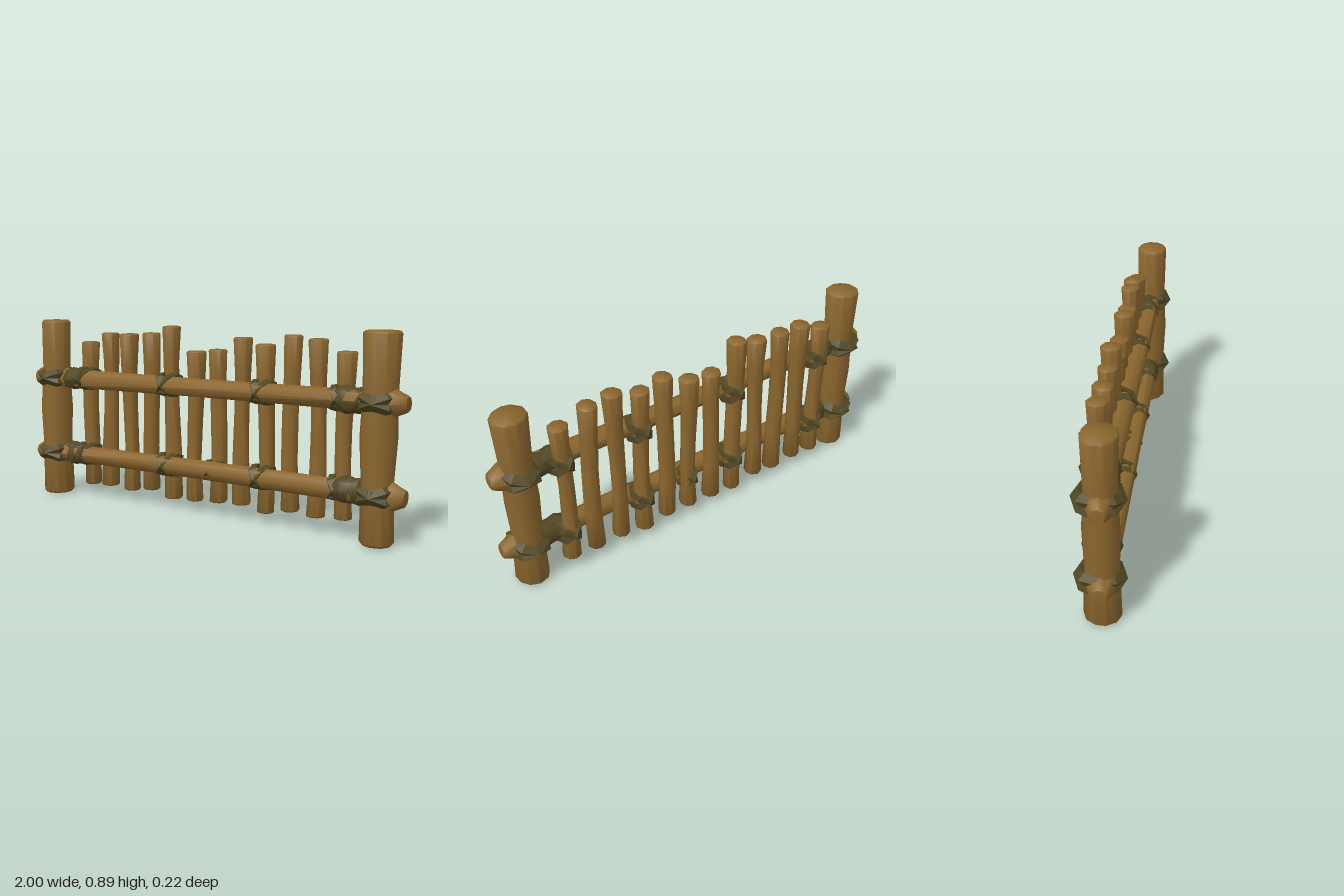
import * as THREE from 'three';
import { toCreasedNormals } from 'three/addons/utils/BufferGeometryUtils.js';

const wood = new THREE.MeshStandardMaterial({ color: 0x8b662e });
wood.name = 'weathered wood';
const rope = new THREE.MeshStandardMaterial({ color: 0x524824 });
rope.name = 'dark rope';

// Rough-hewn log standing on y = 0; profile is a list of [height fraction, radius factor]
function logGeometry(radius, length, sides, seed, profile, bend) {
  const bevel = radius * 0.18;
  const pts = [new THREE.Vector2(0, 0), new THREE.Vector2(radius * profile[0][1] * 0.88, bevel * 0.3)];
  profile.forEach(([t, f]) => pts.push(new THREE.Vector2(radius * f, bevel + t * (length - 2 * bevel))));
  pts.push(new THREE.Vector2(radius * profile[profile.length - 1][1] * 0.88, length - bevel * 0.3));
  pts.push(new THREE.Vector2(0, length));
  const g = new THREE.LatheGeometry(pts, sides);
  const p = g.attributes.position;
  for (let i = 0; i < p.count; i++) {
    const x = p.getX(i), y = p.getY(i), z = p.getZ(i);
    const a = Math.atan2(x, z), t = y / length;
    const k = 1 + 0.05 * Math.sin(2 * a + seed * 1.7 + t * 4);
    p.setX(i, x * k + bend * Math.sin(t * 5 + seed * 2.3));
    p.setZ(i, z * k + bend * 0.4 * Math.sin(t * 4 + seed));
  }
  return toCreasedNormals(g, 0.85);
}

// Pair of crossed rope loops, wrapping along z and along the two diagonals
function lashing(name, x, y, z, rx, rz, tube, tilt, height) {
  const group = new THREE.Group();
  group.name = name;
  for (const s of [-1, 1]) {
    const g = new THREE.TorusGeometry(1 - tube / rz, tube / rz, 4, 8);
    g.rotateX(Math.PI / 2).scale(rx, rz * height, rz).rotateZ(s * tilt);
    const mesh = new THREE.Mesh(toCreasedNormals(g, 0.6), rope);
    mesh.name = 'ropeLoop';
    group.add(mesh);
  }
  group.position.set(x, y, z);
  return group;
}

export function createModel() {
  const fence = new THREE.Group();
  fence.name = 'fence';
  const add = (name, geometry, material, x, y, z) => {
    const mesh = new THREE.Mesh(geometry, material);
    mesh.name = name;
    mesh.position.set(x, y, z);
    fence.add(mesh);
  };

  const railHeights = [0.215, 0.6];

  // End posts
  const postProfile = [[0, 1], [0.3, 0.93], [0.5, 1.03], [0.72, 0.92], [1, 1]];
  add('rightPost', logGeometry(0.076, 0.893, 10, 1, postProfile, 0.003), wood, -0.882, 0, 0.006);
  add('leftPost', logGeometry(0.076, 0.895, 10, 4, postProfile, 0.003), wood, 0.874, 0, 0.006);

  // Pickets: x, bottom, top
  const pickets = [
    [-0.7, 0.055, 0.785], [-0.575, 0.06, 0.833], [-0.45, 0.053, 0.833], [-0.322, 0.07, 0.842],
    [-0.197, 0.043, 0.877], [-0.066, 0.05, 0.765], [0.063, 0.06, 0.778], [0.188, 0.065, 0.838],
    [0.315, 0.045, 0.812], [0.44, 0.07, 0.857], [0.57, 0.063, 0.845], [0.695, 0.072, 0.797],
  ];
  pickets.forEach(([x, bottom, top], i) => {
    const profile = [[0, 1.02], [0.28, 0.9 + 0.04 * Math.sin(i * 2)], [0.55, 0.88], [0.8, 0.94], [1, 1.08]];
    add('picket', logGeometry(0.042, top - bottom, 8, i * 1.3 + 0.5, profile, 0.006), wood, x, bottom, -0.05);
  });

  // Rails with knobbed ends poking past the posts
  const railProfile = [[0, 0.8], [0.025, 1.28], [0.06, 1.12], [0.12, 1], [0.5, 0.96], [0.88, 1], [0.94, 1.12], [0.975, 1.28], [1, 0.8]];
  railHeights.forEach((y, i) => {
    const g = logGeometry(0.046, 2, 8, i * 2 + 1, railProfile, 0.002);
    g.rotateZ(-Math.PI / 2);
    add('rail', g, wood, -1, y, 0.01);
  });

  // Rope: crossed loops on the posts, a sleeve out to the first picket, and loops on chosen pickets
  railHeights.forEach((y, row) => {
    for (const x of [-0.882, 0.874]) {
      fence.add(lashing('postLashing', x, y, 0, 0.1, 0.11, 0.026, 0.35, 1.15));
      const side = Math.sign(x);
      const profile = [[0, 0.96], [0.3, 1.12], [0.65, 1.0], [1, 1.12]];
      const sleeve = logGeometry(0.053, 0.13, 8, row + side, profile, 0.002);
      sleeve.rotateZ(-Math.PI / 2);
      add('railWrap', sleeve, rope, side * 0.745 - 0.065, y, 0.004);
    }
    for (const x of [-0.7, -0.197, 0.312, 0.695]) {
      fence.add(lashing('picketLashing', x, y, -0.022, 0.075, 0.087, 0.022, 0.8, 1.25));
    }
  });
  fence.add(lashing('picketLashing', 0.06, railHeights[0], -0.022, 0.065, 0.08, 0.018, 0.8, 1.2));

  return fence;
}
